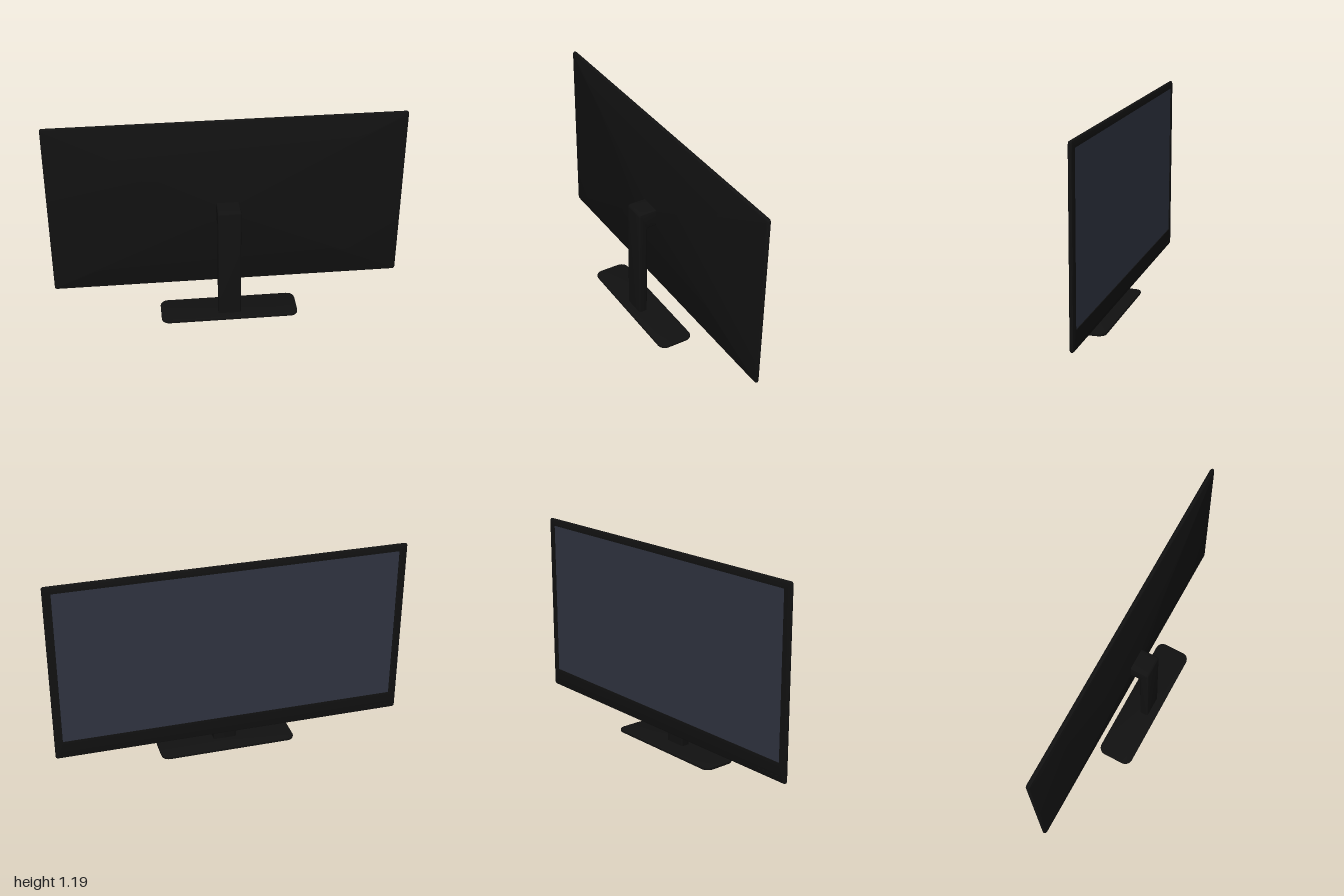
import * as THREE from 'three';
import { toCreasedNormals } from 'three/addons/utils/BufferGeometryUtils.js';

const black = new THREE.MeshStandardMaterial({ color: 0x111111 });
const glass = new THREE.MeshStandardMaterial({ color: 0x2f3340 });

function add(group, name, geometry, material = black) {
  const mesh = new THREE.Mesh(geometry, material);
  mesh.name = name;
  group.add(mesh);
  return mesh;
}

// Rounded rectangle outline, counter-clockwise seen from +z
function rectLoop(hw, y0, y1, r, z, steps = 4) {
  const pts = [];
  const corners = [[hw - r, y0 + r, -90], [hw - r, y1 - r, 0], [r - hw, y1 - r, 90], [r - hw, y0 + r, 180]];
  for (const [cx, cy, start] of corners) {
    for (let i = 0; i <= steps; i++) {
      const a = THREE.MathUtils.degToRad(start + (90 * i) / steps);
      pts.push(new THREE.Vector3(cx + r * Math.cos(a), cy + r * Math.sin(a), z));
    }
  }
  return pts;
}

// Skin joining successive loops
function loft(loops) {
  const n = loops[0].length;
  const index = [];
  for (let i = 0; i < loops.length - 1; i++) {
    for (let j = 0; j < n; j++) {
      const k = (j + 1) % n;
      const a = i * n + j, b = i * n + k, c = b + n, d = a + n;
      index.push(a, b, c, a, c, d);
    }
  }
  const geo = new THREE.BufferGeometry().setFromPoints(loops.flat());
  geo.setIndex(index);
  return toCreasedNormals(geo, 0.5);
}

function roundedShape(w, h, r) {
  return new THREE.Shape(rectLoop(w / 2, -h / 2, h / 2, r, 0, 6).map((p) => new THREE.Vector2(p.x, p.y)));
}

export function createModel() {
  const model = new THREE.Group();
  model.name = 'monitor';

  // Housing: recess wall, bezel, rounded rim, then a back tapering to the mount
  const outer = (inset, z) => rectLoop(1 - inset, 0.14 + inset, 1.19 - inset, 0.012, z);
  const opening = (z) => rectLoop(0.955, 0.245, 1.15, 0.001, z);
  add(model, 'housing', loft([
    opening(-0.111), opening(-0.115),
    outer(0.01, -0.115), outer(0.003, -0.112), outer(0, -0.107),
    outer(0, -0.1), outer(0.004, -0.094), outer(0.014, -0.09),
    rectLoop(0.062, 0.605, 0.697, 0.008, -0.038),
  ]));

  // Display panel facing -z
  const screen = add(model, 'screen', new THREE.PlaneGeometry(1.91, 0.905), glass);
  screen.position.set(0, 0.6975, -0.111);
  screen.rotation.y = Math.PI;

  // Row of small buttons on the lower bezel
  for (let i = 0; i < 5; i++) {
    const button = add(model, 'button', new THREE.BoxGeometry(0.014, 0.007, 0.004));
    button.position.set(-0.82 - i * 0.03, 0.17, -0.116);
  }

  // Column with arm: side profile (z, y) extruded across x
  const b = 0.007;
  const front = 0.068 - b, rear = 0.017 + b, top = 0.705 - b, under = 0.602 + b;
  const profile = new THREE.Shape();
  profile.moveTo(rear, 0.008);
  profile.lineTo(front, 0.008);
  profile.lineTo(front, top - 0.015);
  profile.quadraticCurveTo(front, top, front - 0.015, top);
  profile.lineTo(-0.06, top);
  profile.lineTo(-0.06, under);
  profile.lineTo(rear - 0.018, under);
  profile.quadraticCurveTo(rear, under, rear, under - 0.018);
  profile.closePath();
  const depth = 0.13 - 2 * b;
  const columnGeo = new THREE.ExtrudeGeometry(profile, {
    depth, bevelSize: b, bevelThickness: b, bevelSegments: 3, curveSegments: 6,
  });
  columnGeo.translate(0, 0, -depth / 2);
  columnGeo.rotateY(-Math.PI / 2);
  add(model, 'standColumn', toCreasedNormals(columnGeo, 0.6));

  // Flat foot with rounded corners and softened edges
  const e = 0.004;
  const footGeo = new THREE.ExtrudeGeometry(roundedShape(0.79 - 2 * e, 0.205 - 2 * e, 0.04), {
    depth: 0.016 - 2 * e, bevelSize: e, bevelThickness: e, bevelSegments: 2,
  });
  footGeo.rotateX(-Math.PI / 2);
  footGeo.translate(0, e, 0.0125);
  add(model, 'standFoot', toCreasedNormals(footGeo, 0.6));

  return model;
}
